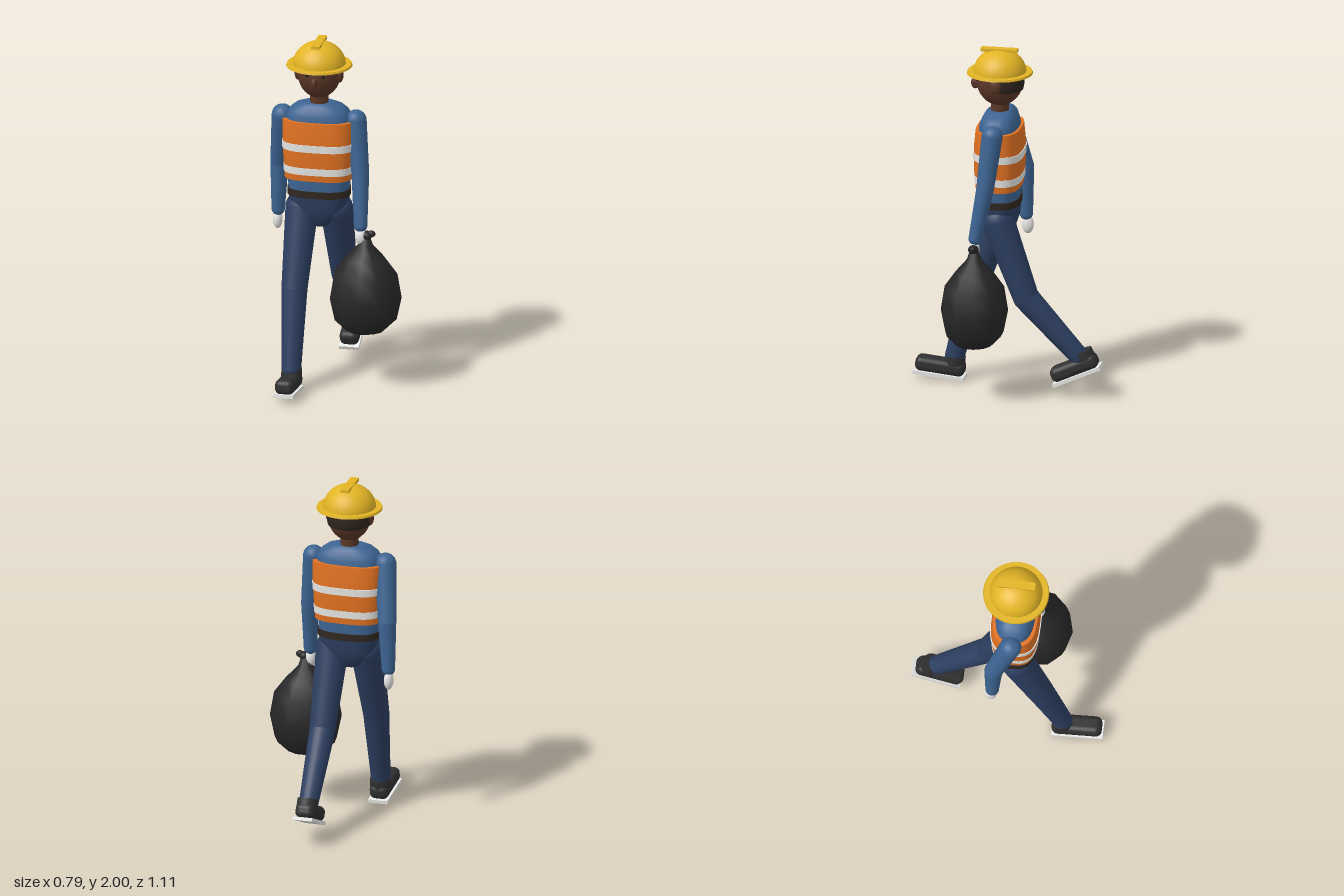
import * as THREE from 'three';
import { RoundedBoxGeometry } from 'three/addons/geometries/RoundedBoxGeometry.js';

const CX = -0.095, CZ = 0.047; // body axis

const mat = (name, color) => {
  const m = new THREE.MeshStandardMaterial({ color });
  m.name = name;
  return m;
};

export function createModel() {
  const skin = mat('skin', 0x5a3626), shirt = mat('shirt blue', 0x3d6492);
  const orange = mat('vest orange', 0xe27222), silver = mat('reflective white', 0xe6e6e4);
  const navy = mat('trouser navy', 0x2c3e60), shoeGrey = mat('shoe charcoal', 0x303030);
  const black = mat('bag black', 0x272727), brown = mat('belt brown', 0x30271f);
  const yellow = mat('helmet yellow', 0xe2b424), hairMat = mat('hair', 0x2d241d);
  hairMat.side = THREE.DoubleSide;

  const root = new THREE.Group();
  root.name = 'worker';
  const add = (name, geo, material, pos = [0, 0, 0], parent = root) => {
    const m = new THREE.Mesh(geo, material);
    m.name = name;
    m.position.set(...pos);
    parent.add(m);
    return m;
  };
  const ball = (name, material, pos, radii, parent = root) => {
    const m = add(name, new THREE.SphereGeometry(1, 24, 16), material, pos, parent);
    m.scale.set(...radii);
    return m;
  };

  // Closed body of rounded-rectangle sections [y, halfWidth, halfDepth], bottom to top
  const loft = (name, material, sections, n = 3) => {
    const a = sections[0], z = sections[sections.length - 1], N = 48;
    const rings = [[a[0], 0, 0], a, ...sections, z, [z[0], 0, 0]];
    const pos = [], index = [];
    rings.forEach(([y, hx, hz], i) => {
      for (let j = 0; j < N; j++) {
        const t = (j / N) * Math.PI * 2, c = Math.cos(t), s = Math.sin(t);
        pos.push(CX + hx * Math.sign(c) * Math.abs(c) ** (2 / n), y,
          CZ + hz * Math.sign(s) * Math.abs(s) ** (2 / n));
        if (i < rings.length - 1) {
          const p = i * N + j, q = i * N + (j + 1) % N;
          index.push(p, p + N, q, q, p + N, q + N);
        }
      }
    });
    const g = new THREE.BufferGeometry();
    g.setAttribute('position', new THREE.Float32BufferAttribute(pos, 3));
    g.setIndex(index);
    g.computeVertexNormals();
    return add(name, g, material);
  };

  // Limb: tapered tubes joined by balls; joints are [x, y, z, radius]
  const limb = (name, material, joints) => {
    const g = new THREE.Group();
    g.name = name;
    root.add(g);
    joints.forEach((j, i) => {
      ball(name + 'Joint', material, j.slice(0, 3), [j[3], j[3], j[3]], g);
      if (!i) return;
      const a = new THREE.Vector3(...joints[i - 1]), b = new THREE.Vector3(...j);
      const d = b.clone().sub(a);
      const tube = add(name + 'Segment',
        new THREE.CylinderGeometry(j[3], joints[i - 1][3], d.length(), 24), material,
        a.add(b).multiplyScalar(0.5).toArray(), g);
      tube.quaternion.setFromUnitVectors(new THREE.Vector3(0, 1, 0), d.normalize());
    });
  };

  // Torso, vest, belt and hips
  loft('shirtTorso', shirt, [[1.1, 0.172, 0.115], [1.3, 0.18, 0.12], [1.52, 0.188, 0.115],
    [1.57, 0.182, 0.107], [1.6, 0.165, 0.095], [1.625, 0.132, 0.08], [1.64, 0.085, 0.06]], 2.7);
  const vest = [[1.2, 0.193, 0.127], [1.32, 0.2, 0.137], [1.44, 0.206, 0.137], [1.545, 0.206, 0.126]];
  loft('vest', orange, vest);
  [[1.238, 1.28, 0.198, 0.134], [1.376, 1.418, 0.206, 0.141]].forEach(([y0, y1, hx, hz]) =>
    loft('reflectiveStripe', silver, [[y0, hx, hz], [y1, hx + 0.002, hz + 0.001]]));
  loft('belt', brown, [[1.097, 0.179, 0.122], [1.137, 0.179, 0.122]], 2.7);
  loft('hips', navy, [[0.905, 0.04, 0.03], [0.92, 0.08, 0.06], [0.96, 0.125, 0.09],
    [1.02, 0.165, 0.11], [1.1, 0.174, 0.117]], 2.5);

  // Head
  add('neck', new THREE.CylinderGeometry(0.05, 0.053, 0.14, 24), skin, [CX, 1.66, CZ]);
  ball('head', skin, [CX, 1.81, CZ], [0.122, 0.142, 0.132]);
  ball('nose', skin, [CX, 1.79, 0.188], [0.018, 0.034, 0.024]);
  for (const s of [-1, 1]) {
    ball('ear', skin, [CX + s * 0.12, 1.807, 0.052], [0.02, 0.044, 0.034]);
    ball('eye', black, [CX + s * 0.045, 1.83, 0.164], [0.012, 0.016, 0.01]);
  }
  const hair = add('hair', new THREE.SphereGeometry(1, 24, 16, Math.PI + 0.12, Math.PI - 0.24, 0, 1.87),
    hairMat, [CX, 1.81, CZ]);
  hair.scale.set(0.128, 0.147, 0.139);

  // Hard hat
  const dome = add('helmetDome', new THREE.SphereGeometry(1, 36, 14, 0, Math.PI * 2, 0, Math.PI / 2),
    yellow, [CX, 1.86, CZ]);
  dome.scale.set(0.15, 0.136, 0.15);
  add('helmetBrim', new THREE.CylinderGeometry(0.183, 0.187, 0.012, 40), yellow, [CX, 1.862, CZ]);
  add('helmetRidge', new THREE.BoxGeometry(0.048, 0.018, 0.21), yellow, [CX, 1.991, CZ + 0.003]);

  // Arms and gloves
  limb('rightArm', shirt, [[-0.308, 1.545, 0.04, 0.062], [-0.345, 1.23, -0.052, 0.052],
    [-0.354, 0.95, -0.058, 0.038]]);
  ball('rightGlove', silver, [-0.358, 0.885, -0.066], [0.027, 0.055, 0.034]);
  limb('leftArm', shirt, [[0.118, 1.545, 0.053, 0.06], [0.15, 1.24, 0.088, 0.05],
    [0.163, 0.95, 0.142, 0.038]]);
  ball('leftGlove', silver, [0.166, 0.887, 0.148], [0.032, 0.05, 0.032]);

  // Legs
  limb('rightLeg', navy, [[-0.192, 1.01, 0.06, 0.094], [-0.205, 0.57, 0.205, 0.074],
    [-0.197, 0.13, 0.325, 0.055]]);
  limb('leftLeg', navy, [[0.003, 1.01, 0.04, 0.094], [0.014, 0.57, -0.122, 0.074],
    [0.006, 0.235, -0.425, 0.055]]);

  // Shoes, pivoting at the back edge of the sole
  const shoe = (name, x, y, z, pitch) => {
    const g = new THREE.Group();
    g.name = name;
    g.position.set(x, y, z);
    g.rotation.x = pitch;
    root.add(g);
    add('sole', new THREE.BoxGeometry(0.114, 0.02, 0.294), silver, [0, 0.01, 0.147], g);
    add('shoeUpper', new RoundedBoxGeometry(0.11, 0.086, 0.284, 5, 0.034), shoeGrey, [0, 0.059, 0.147], g);
    add('shoeCollar', new THREE.CylinderGeometry(0.058, 0.06, 0.05, 24), shoeGrey, [0, 0.105, 0.068], g);
  };
  shoe('rightShoe', -0.196, 0, 0.265, -0.11);
  shoe('leftShoe', 0.005, 0.178, -0.556, 0.42);

  // Sack with a gathered neck, knot and tail
  const profile = [[0, 0.31], [0.11, 0.335], [0.178, 0.4], [0.206, 0.53], [0.182, 0.67],
    [0.115, 0.76], [0.045, 0.835], [0.022, 0.9], [0, 0.905]].map(p => new THREE.Vector2(...p));
  const sack = add('sack', new THREE.LatheGeometry(profile, 11), black, [0.19, 0, 0.143]);
  sack.scale.z = 0.93;
  ball('sackKnot', black, [0.2, 0.895, 0.146], [0.03, 0.026, 0.03]);
  ball('sackTail', black, [0.226, 0.905, 0.143], [0.022, 0.02, 0.017]);

  return root;
}
